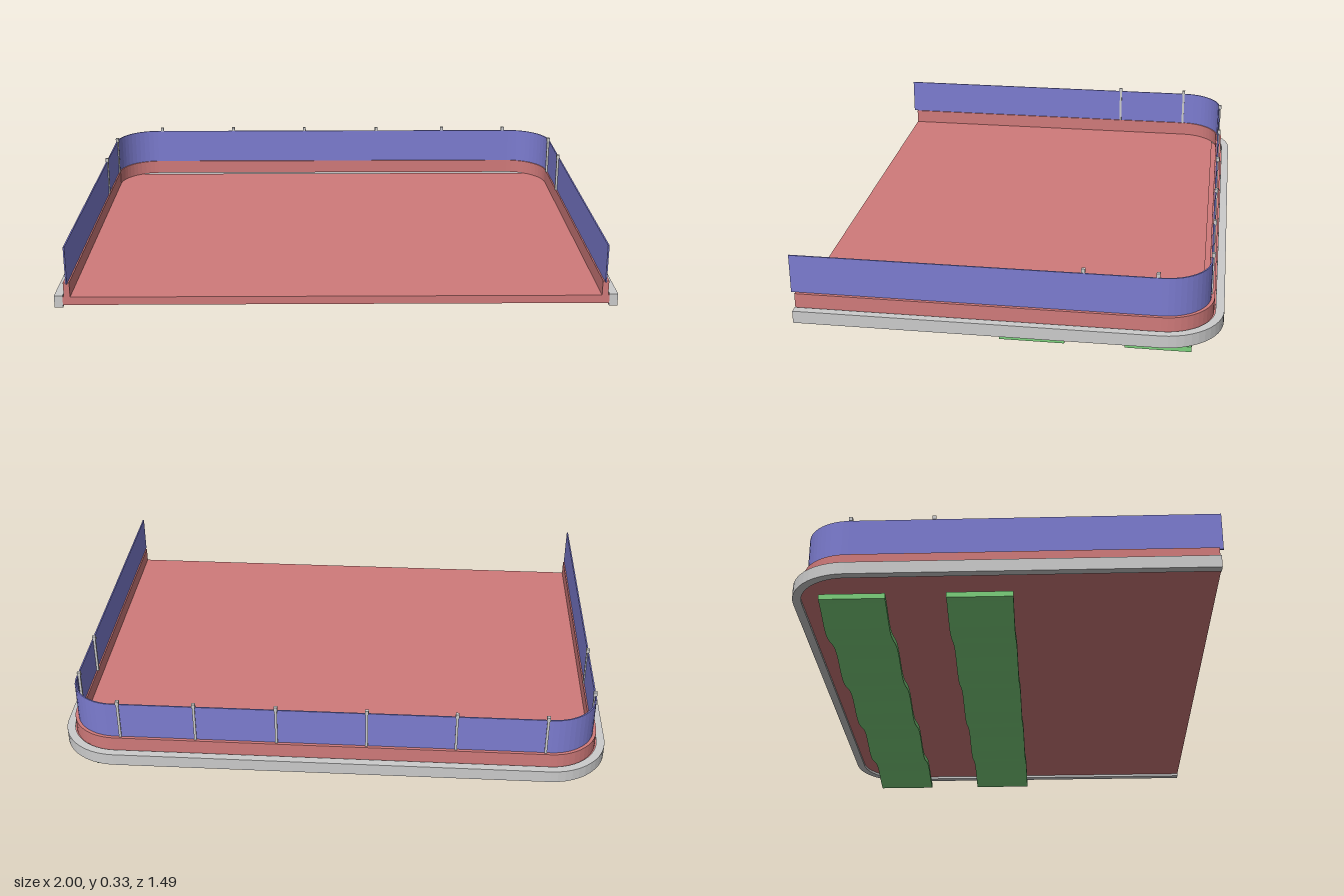
import * as THREE from 'three';

const material = (color) => new THREE.MeshStandardMaterial({ color });
const grey = material(0xcccccc);
const red = material(0xd07a7a);
const blue = material(0x7c7cd0);
const green = material(0x7cd07c);

const FRONT = 0.73;

// Points of a U outline, open at the front, inset from the outer edge
function outline(inset, front) {
  const w = 1 - inset, back = -0.745 + inset, r = 0.21 - inset;
  const pts = [new THREE.Vector2(-w, front)];
  for (const side of [-1, 1]) {
    for (let i = 0; i <= 12; i++) {
      const a = (i / 12) * Math.PI / 2;
      const t = side < 0 ? a : Math.PI / 2 - a;
      pts.push(new THREE.Vector2(side * (w - r + r * Math.cos(t)), back + r - r * Math.sin(t)));
    }
  }
  pts.push(new THREE.Vector2(w, front));
  return pts;
}

// Extrude a plan outline (x, z) between two heights
function slab(name, pts, y0, y1, mat) {
  const geo = new THREE.ExtrudeGeometry(new THREE.Shape(pts), { depth: y1 - y0, bevelEnabled: false });
  geo.rotateX(Math.PI / 2).translate(0, y1, 0);
  const mesh = new THREE.Mesh(geo, mat);
  mesh.name = name;
  return mesh;
}

// U-shaped band between two insets
function band(name, outer, inner, y0, y1, mat, front = FRONT) {
  return slab(name, [...outline(outer, front), ...outline(inner, front).reverse()], y0, y1, mat);
}

function box(name, x, y0, y1, z, w, d, mat) {
  const mesh = new THREE.Mesh(new THREE.BoxGeometry(w, y1 - y0, d), mat);
  mesh.position.set(x, (y0 + y1) / 2, z);
  mesh.name = name;
  return mesh;
}

const wave = (x) => 0.035 - 0.017 * Math.cos((2 * Math.PI * (x + 0.7)) / 0.395);

// Wavy ceiling panel, extruded along z
function wavyPanel(z0, z1) {
  const top = [], bottom = [];
  for (let i = 0; i <= 72; i++) {
    const x = -0.88 + (1.76 * i) / 72;
    const y = wave(x) + 0.012 * Math.max(0, (-0.7 - x) / 0.18);
    top.push(new THREE.Vector2(x, y + 0.01));
    bottom.push(new THREE.Vector2(x, Math.max(0, y - 0.01)));
  }
  const geo = new THREE.ExtrudeGeometry(new THREE.Shape([...bottom, ...top.reverse()]), { depth: z1 - z0, bevelEnabled: false });
  const mesh = new THREE.Mesh(geo.translate(0, 0, z0), green);
  mesh.name = 'wavyPanel';
  return mesh;
}

export function createModel() {
  const model = new THREE.Group();
  model.name = 'balcony';

  // Grey rim around the floor
  model.add(band('edgeRim', 0, 0.03, 0.085, 0.13, grey));

  // Floor: full base plate, and a raised deck leaving a drain channel at the back
  model.add(slab('floorBase', outline(0.03, FRONT), 0.095, 0.103, red));
  const deck = outline(0.03, FRONT).map((p) => new THREE.Vector2(p.x, Math.max(p.y, -0.67)));
  model.add(slab('floorDeck', deck, 0.103, 0.125, red));

  // Curb and glass parapet
  model.add(band('curb', 0.035, 0.057, 0.125, 0.18, red));
  model.add(band('glassParapet', 0.047, 0.052, 0.18, 0.32, blue, 0.745));

  // Railing posts with small caps
  const posts = new THREE.Group();
  posts.name = 'railingPosts';
  const spots = [-0.77, -0.45, -0.13, 0.195, 0.49, 0.765].map((x) => [x, -0.698]);
  spots.push([-0.948, -0.53], [-0.948, -0.24], [0.944, -0.52], [0.944, -0.27]);
  for (const [x, z] of spots) {
    posts.add(box('post', x, 0.18, 0.32, z, 0.009, 0.009, grey));
    posts.add(box('postCap', x, 0.32, 0.335, z, 0.013, 0.013, grey));
  }
  model.add(posts);

  // Wavy panels hung below the floor on thin rods
  for (const [z0, z1] of [[-0.2, 0.03], [-0.64, -0.41]]) {
    model.add(wavyPanel(z0, z1));
    for (const x of [-0.7, -0.305, 0.09, 0.865]) {
      for (const z of [z0 + 0.041, z1 - 0.033]) {
        model.add(box('hanger', x, wave(x), 0.1, z, 0.006, 0.006, grey));
      }
    }
  }
  return model;
}
